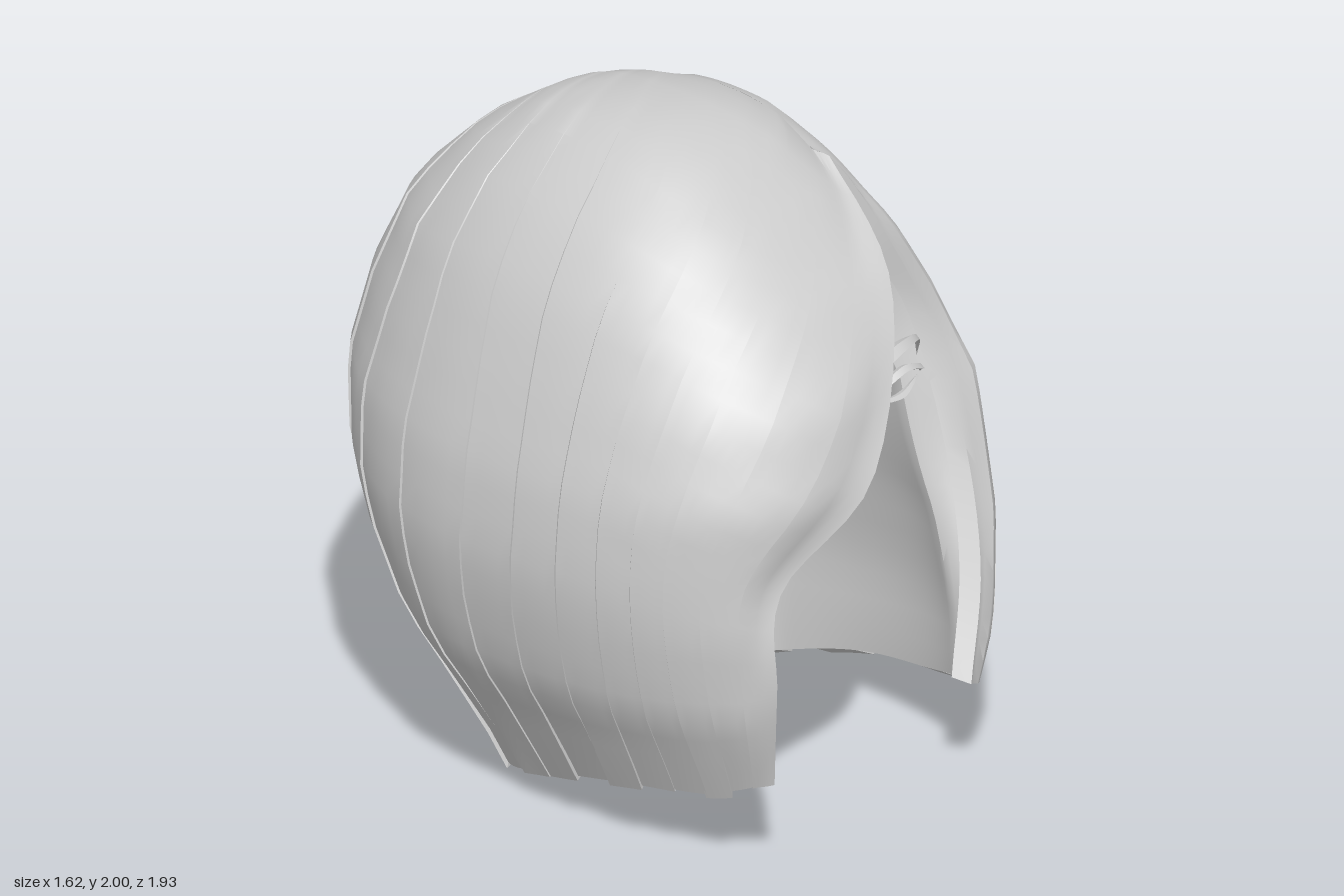
import * as THREE from 'three';
import { toCreasedNormals } from 'three/addons/utils/BufferGeometryUtils.js';

const V = (p) => new THREE.Vector3(...p);
const spline = (pts) => new THREE.CatmullRomCurve3(pts, false, 'catmullrom', 0.5);
const smooth = THREE.MathUtils.smoothstep;

// Silhouette of the hair by height: y, reach to -x, +x, -z, +z
const SECTIONS = [
  [0.0, 0.51, 0.56, 0.30, 0.95], [0.1, 0.54, 0.60, 0.37, 0.96], [0.4, 0.69, 0.73, 0.64, 1.0],
  [0.5, 0.75, 0.76, 0.72, 1.0], [0.75, 0.80, 0.80, 0.87, 0.99], [0.9, 0.81, 0.80, 0.93, 0.97],
  [1.13, 0.78, 0.78, 0.965, 0.98], [1.38, 0.69, 0.68, 0.91, 0.90], [1.61, 0.59, 0.57, 0.80, 0.72],
  [1.8, 0.45, 0.46, 0.60, 0.51], [1.93, 0.28, 0.35, 0.40, 0.32], [1.97, 0.20, 0.28, 0.29, 0.22],
  [1.995, 0.10, 0.18, 0.14, 0.12], [2.005, 0.001, 0.001, 0.001, 0.001],
];

function isInside(p) {
  if (p.y > 2) return false;
  const y = Math.max(p.y, 0);
  let i = 0;
  while (i < SECTIONS.length - 2 && SECTIONS[i + 1][0] < y) i++;
  const a = SECTIONS[i], b = SECTIONS[i + 1], t = (y - a[0]) / (b[0] - a[0]);
  const reach = (k) => a[k] + (b[k] - a[k]) * t;
  const n = p.z > 0 ? 2.6 : p.x < 0 ? 1.95 : 2.1;
  return Math.abs(p.x / reach(p.x < 0 ? 1 : 2)) ** n + Math.abs(p.z / reach(p.z < 0 ? 3 : 4)) ** n < 1;
}

// Push a point out from the head's axis until it meets the silhouette
function project(p) {
  const c = new THREE.Vector3(0, Math.min(p.y, 1), 0);
  const d = p.clone().sub(c).normalize();
  let lo = 0, hi = 1.6;
  for (let i = 0; i < 24; i++) {
    const m = (lo + hi) / 2;
    if (isInside(c.clone().addScaledVector(d, m))) lo = m; else hi = m;
  }
  return c.addScaledVector(d, lo);
}

// Parting, front to back; guide strands run from it down to the hem
const PART = spline([[0.32, 1.86, 0.38], [0.31, 1.93, 0.19], [0.28, 1.96, -0.05],
  [0.28, 1.94, -0.28], [0.29, 1.87, -0.46], [0.34, 1.74, -0.62]].map(V));
const BACK = [[0.29, 1.62, -0.74], [0.17, 1.4, -0.88], [0.07, 1.08, -0.96], [0.03, 0.6, -0.78], [0, 0, -0.31]];
const RIGHT = [
  [[0.2, 1.59, 0.74], [-0.1, 1.17, 0.96], [-0.4, 0.89, 0.89], [-0.45, 0.6, 0.92], [-0.41, 0.28, 0.87]],
  [[-0.05, 1.74, 0.6], [-0.42, 1.4, 0.72], [-0.62, 1.0, 0.7], [-0.62, 0.6, 0.72], [-0.5, 0.22, 0.74]],
  [[-0.2, 1.85, 0.36], [-0.56, 1.52, 0.45], [-0.75, 1.1, 0.47], [-0.74, 0.6, 0.48], [-0.58, 0.19, 0.48]],
  [[-0.2, 1.9, -0.1], [-0.6, 1.55, -0.02], [-0.79, 1.1, 0.05], [-0.76, 0.6, 0.06], [-0.58, 0.11, 0.14]],
  [[-0.1, 1.84, -0.47], [-0.46, 1.5, -0.58], [-0.6, 1.1, -0.64], [-0.56, 0.6, -0.48], [-0.5, 0.04, -0.15]],
  BACK,
];
const LEFT = [
  [[0.44, 1.62, 0.46], [0.57, 1.3, 0.53], [0.58, 0.95, 0.66], [0.52, 0.62, 0.78], [0.4, 0.32, 0.86]],
  [[0.48, 1.68, 0.3], [0.68, 1.3, 0.35], [0.75, 0.95, 0.45], [0.7, 0.65, 0.55], [0.55, 0.22, 0.6]],
  [[0.5, 1.7, -0.12], [0.72, 1.3, 0], [0.8, 0.95, 0.1], [0.77, 0.6, 0.17], [0.6, 0.15, 0.25]],
  [[0.5, 1.64, -0.48], [0.66, 1.3, -0.48], [0.72, 0.95, -0.4], [0.66, 0.6, -0.28], [0.56, 0.05, -0.1]],
  BACK,
];

function makeGeometry(quads) {
  const pos = [];
  for (const [a, b, c, d] of quads) for (const p of [a, b, c, a, c, d]) pos.push(p.x, p.y, p.z);
  const g = new THREE.BufferGeometry();
  g.setAttribute('position', new THREE.Float32BufferAttribute(pos, 3));
  return toCreasedNormals(g, 0.6);
}

// One side of the bob: overlapping clumps outside, a smooth lining inside, rims between.
// The lining thickens between the two given fractions of the way round.
function hairSide(guides, clumps, flip, liningStart, liningFull) {
  const ROWS = 28, STEPS = 4;
  const strands = guides.map((g, i) => [PART.getPoint(i / (guides.length - 1)), ...g.map(V)]);
  const across = strands[0].map((_, k) => spline(strands.map((s) => s[k])));
  const outer = [], inner = [];
  for (let c = 0; c < clumps; c++) for (let s = 0; s <= STEPS; s++) {
    const f = s / STEPS, u = (c + f) / clumps;
    const strand = spline(across.map((curve) => curve.getPoint(u)));
    const fit = smooth(u, 0, 0.07), oCol = [], iCol = [];
    for (let r = 0; r <= ROWS; r++) {
      const v = r / ROWS, raw = strand.getPoint(v);
      const p = raw.clone().lerp(project(raw), fit);
      const lift = 0.009 * (1 - f) * smooth(v, 0.03, 0.35) * smooth(u, 0, 0.1);
      const dip = 0.01 * (1 - smooth(v, 0, 0.06));
      const o = p.clone();
      o.x *= 1 + lift - dip;
      o.z *= 1 + lift - dip;
      o.y -= dip;
      // slightly uneven clump tips
      if (u < 1) o.y += 0.01 * Math.sin(c * 2.3) * smooth(v, 0.85, 1) * fit;
      // thick sides, thin at the hem and the parting
      const deep = 0.26 * smooth(u, liningStart, liningFull) * Math.max(0, Math.sin(Math.PI * v)) ** 0.75;
      const drop = 0.05 + 0.05 * (1 - smooth(u, 0, 0.1));
      iCol.push(new THREE.Vector3(p.x * (0.91 - deep), p.y - drop * (1 - smooth(v, 0.1, 0.4)) + 0.02 * v, p.z * 0.95));
      oCol.push(o);
    }
    outer.push(oCol);
    inner.push(iCol);
  }
  const quads = [];
  const quad = (a, b, c, d) => quads.push(flip ? [a, d, c, b] : [a, b, c, d]);
  for (let i = 0; i < outer.length - 1; i++) {
    for (let r = 0; r < ROWS; r++) {
      quad(outer[i][r], outer[i + 1][r], outer[i + 1][r + 1], outer[i][r + 1]);
      if (i % (STEPS + 1) < STEPS) quad(inner[i][r], inner[i][r + 1], inner[i + 1][r + 1], inner[i + 1][r]);
    }
    quad(outer[i][ROWS], outer[i + 1][ROWS], inner[i + 1][ROWS], inner[i][ROWS]);
  }
  for (let r = 0; r < ROWS; r++) quad(inner[0][r], outer[0][r], outer[0][r + 1], inner[0][r + 1]);
  return makeGeometry(quads);
}

// Tapered band with a diamond section, for brow and lids
function band(points, heights, depth) {
  const curve = spline(points.map(V)), N = 16, rings = [];
  for (let i = 0; i <= N; i++) {
    const t = i / N, p = curve.getPoint(t), k = t * (heights.length - 1);
    const j = Math.min(Math.floor(k), heights.length - 2);
    const h = THREE.MathUtils.lerp(heights[j], heights[j + 1], k - j) / 2;
    rings.push([[0, h], [depth, 0], [0, -h], [-depth, 0]].map(([y, z]) => new THREE.Vector3(p.x, p.y + y, p.z + z)));
  }
  const quads = [];
  for (let i = 0; i < N; i++) for (let k = 0; k < 4; k++) {
    const m = (k + 1) % 4;
    quads.push([rings[i][k], rings[i][m], rings[i + 1][m], rings[i + 1][k]]);
  }
  return makeGeometry(quads);
}

export function createModel() {
  const grey = new THREE.MeshStandardMaterial({ color: 0xcccccc, side: THREE.DoubleSide });
  grey.name = 'grey';
  const model = new THREE.Group();
  model.name = 'bobHair';
  const add = (name, geometry, parent = model) => {
    const mesh = new THREE.Mesh(geometry, grey);
    mesh.name = name;
    parent.add(mesh);
  };

  add('sweptFringeAndRightHair', hairSide(RIGHT, 13, false, 0.1, 0.38));
  add('leftHair', hairSide(LEFT, 10, true, 0, 0.14));

  // Brow and eyelids, mirrored
  const brow = band([[0.08, 1.36, 0.74], [0.16, 1.38, 0.74], [0.27, 1.385, 0.715], [0.38, 1.35, 0.66], [0.485, 1.24, 0.56]],
    [0.075, 0.075, 0.055, 0.03, 0.005], 0.012);
  const upperLid = band([[0.13, 1.245, 0.69], [0.19, 1.285, 0.72], [0.27, 1.31, 0.72], [0.35, 1.285, 0.7], [0.405, 1.245, 0.65]],
    [0.015, 0.035, 0.04, 0.045, 0.02], 0.01);
  const lowerLid = band([[0.135, 1.232, 0.68], [0.2, 1.222, 0.7], [0.28, 1.218, 0.7], [0.385, 1.23, 0.66]],
    [0.005, 0.03, 0.035, 0.01], 0.006);
  for (const side of [1, -1]) {
    const eye = new THREE.Group();
    eye.name = side > 0 ? 'leftEye' : 'rightEye';
    eye.scale.x = side;
    add('brow', brow, eye);
    add('upperLid', upperLid, eye);
    add('lowerLid', lowerLid, eye);
    model.add(eye);
  }
  return model;
}
